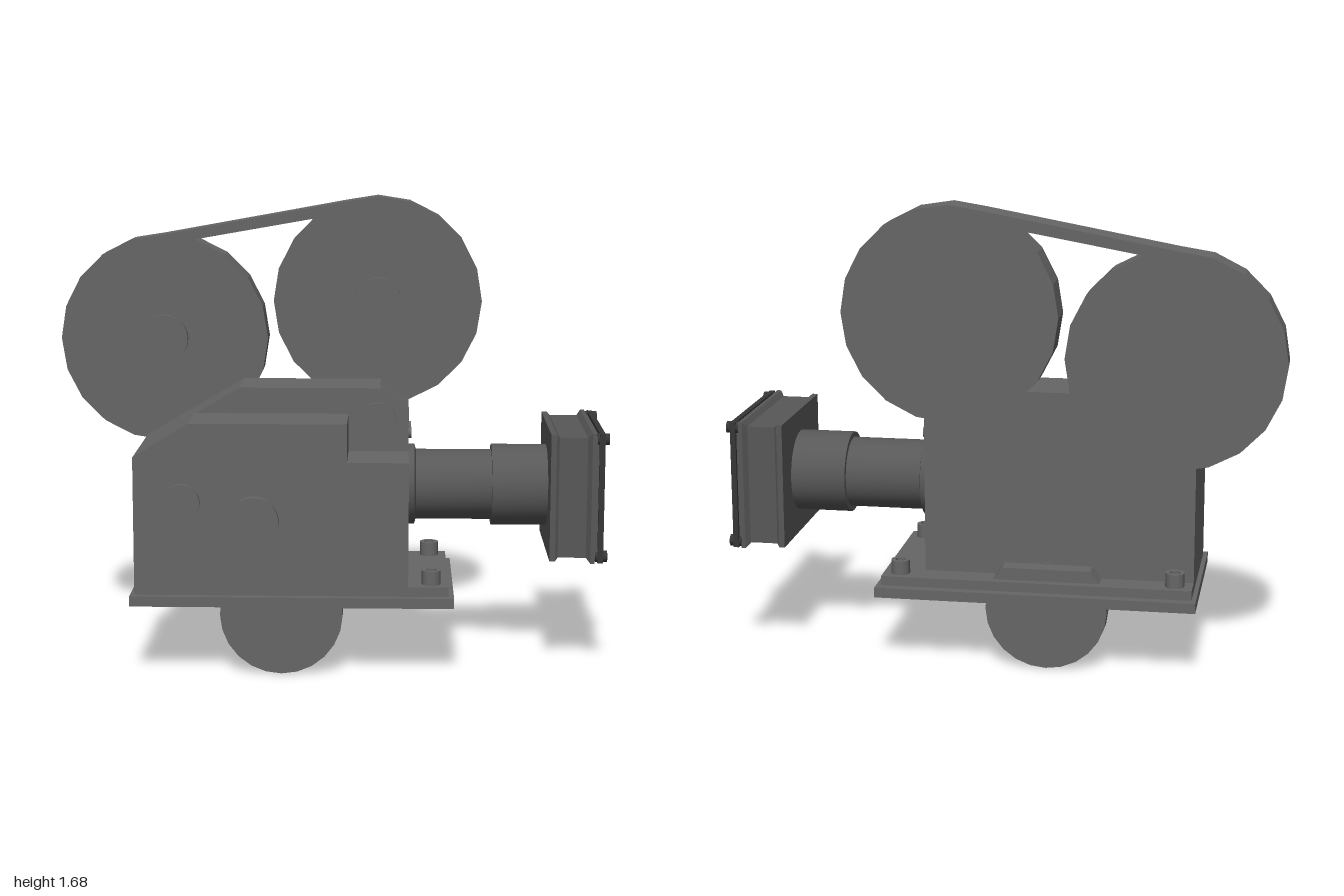
import * as THREE from 'three';
import { toCreasedNormals } from 'three/addons/utils/BufferGeometryUtils.js';

const bodyColor = 0x666666, lensColor = 0x585858, frameColor = 0x363636;
const flat = new THREE.MeshStandardMaterial({ color: bodyColor, flatShading: true });
const smooth = new THREE.MeshStandardMaterial({ color: bodyColor });
const open = new THREE.MeshStandardMaterial({ color: bodyColor, side: THREE.DoubleSide });
const lens = new THREE.MeshStandardMaterial({ color: lensColor, side: THREE.DoubleSide });
const frame = new THREE.MeshStandardMaterial({ color: frameColor, side: THREE.DoubleSide });

export function createModel() {
  const model = new THREE.Group();
  model.name = 'filmCamera';

  const add = (name, geometry, material = flat) => {
    const mesh = new THREE.Mesh(geometry, material);
    mesh.name = name;
    model.add(mesh);
  };
  // Box given by its limits
  const box = (name, x0, x1, y0, y1, z0, z1) =>
    add(name, new THREE.BoxGeometry(x1 - x0, y1 - y0, z1 - z0)
      .translate((x0 + x1) / 2, (y0 + y1) / 2, (z0 + z1) / 2));
  // Disc facing z
  const disc = (name, x, y, r, z0, z1, sides = 32) =>
    add(name, toCreasedNormals(new THREE.CylinderGeometry(r, r, z1 - z0, sides), 0.25)
      .rotateX(Math.PI / 2).translate(x, y, (z0 + z1) / 2), sides < 24 ? flat : smooth);
  // Outline in x, y extruded along z
  const slab = (name, points, z0, z1) => {
    const shape = new THREE.Shape(points.map(([x, y]) => new THREE.Vector2(x, y)));
    add(name, new THREE.ExtrudeGeometry(shape, { depth: z1 - z0, bevelEnabled: false })
      .translate(0, 0, z0));
  };
  // Turned profile of [radius, height]
  const lathe = (points, sides = 32) => toCreasedNormals(
    new THREE.LatheGeometry(points.map(([r, h]) => new THREE.Vector2(r, h)), sides), 0.6);

  // Body: tall rear housing and lower front half with a stepped corner
  slab('rearHousing', [[-0.684, 0.31], [0.293, 0.31], [0.293, 0.93], [0.19, 1.006],
    [-0.32, 1.006], [-0.684, 0.79]], -0.186, 0.055);
  slab('frontHousing', [[-0.684, 0.31], [0.293, 0.31], [0.293, 0.775], [0.075, 0.775],
    [0.075, 0.912], [-0.485, 0.912], [-0.684, 0.79]], 0.055, 0.288);
  disc('smallDial', -0.513, 0.63, 0.066, 0.28, 0.307);
  disc('largeDial', -0.255, 0.565, 0.088, 0.28, 0.318);
  disc('cornerDial', 0.18, 0.885, 0.07, 0.05, 0.077);
  for (const z of [0, -0.14]) {
    add('noseButton', new THREE.CylinderGeometry(0.02, 0.02, 0.02, 20)
      .rotateZ(Math.PI / 2).translate(0.293, 0.835, z), smooth);
  }

  // Base plates and socket bolts
  box('lowerPlate', -0.7, 0.456, 0.255, 0.292, -0.314, 0.314);
  box('upperPlate', -0.684, 0.437, 0.292, 0.327, -0.282, 0.288);
  for (const [x, z] of [[0.375, 0.233], [0.375, -0.23], [-0.62, -0.23]]) {
    add('bolt', lathe([[0.034, 0.32], [0.034, 0.378], [0.019, 0.378], [0.019, 0.35], [0, 0.35]], 24)
      .translate(x, 0, z), open);
  }

  // Spool under the base, its flanges cut flat just above the plates
  const cut = 0.76, flange = [];
  for (let i = 0; i <= 18; i++) {
    const a = Math.PI - cut + (Math.PI + 2 * cut) * i / 18;
    flange.push([-0.16 + 0.22 * Math.cos(a), 0.22 + 0.22 * Math.sin(a)]);
  }
  for (const z of [0.203, -0.253]) slab('spoolFlange', flange, z, z + 0.065);
  disc('spoolDrum', -0.16, 0.218, 0.16, -0.19, 0.205);

  // Film magazines and the bridge between their tops
  for (const [x, y] of [[-0.615, 1.155], [0.177, 1.296]]) {
    disc('magazine', x, y, 0.385, -0.308, -0.186, 20);
    disc('magazineHub', x, y, 0.088, -0.19, -0.158);
  }
  slab('magazineBridge', [[-0.615, 1.54], [-0.5, 1.522], [0.04, 1.617], [0.12, 1.64],
    [0.058, 1.662]], -0.308, -0.186);

  // Lens barrel with a hollow front
  const lensY = 0.642, lensZ = -0.018;
  add('lensBarrel', lathe([[0.147, 0.28], [0.147, 0.315], [0.128, 0.32], [0.128, 0.595],
    [0.148, 0.595], [0.148, 0.86], [0.12, 0.86], [0.113, 0.82], [0.09, 0.775],
    [0.05, 0.75], [0, 0.74]], 40)
    .rotateZ(-Math.PI / 2).translate(0, lensY, lensZ), lens);

  // Matte box: rectangular rings of [x, half height, half depth] joined in order
  const corners = [[1, 1], [-1, 1], [-1, -1], [1, -1]];
  const loft = (name, rings, material) => {
    const positions = [];
    const at = (i, j) => {
      const [x, h, d] = rings[i], [sy, sz] = corners[j % 4];
      return [x, lensY + sy * h, lensZ + sz * d];
    };
    for (let i = 0; i < rings.length - 1; i++) {
      for (let j = 0; j < 4; j++) {
        const a = at(i, j), b = at(i, j + 1), c = at(i + 1, j + 1), d = at(i + 1, j);
        positions.push(...a, ...b, ...d, ...b, ...c, ...d);
      }
    }
    const geometry = new THREE.BufferGeometry();
    geometry.setAttribute('position', new THREE.Float32BufferAttribute(positions, 3));
    geometry.computeVertexNormals();
    add(name, geometry, material);
  };
  loft('matteBox', [[0.795, 0.102, 0.102], [0.795, 0.228, 0.258], [0.815, 0.228, 0.258],
    [0.825, 0.217, 0.247], [0.925, 0.217, 0.247], [0.94, 0.235, 0.266], [0.955, 0.235, 0.266],
    [0.955, 0.222, 0.253], [0.965, 0.222, 0.253]], lens);
  loft('matteBoxFrame', [[0.965, 0.222, 0.253], [0.965, 0.233, 0.265], [0.985, 0.233, 0.265],
    [0.985, 0.195, 0.211], [0.96, 0.195, 0.211]], frame);
  loft('matteBoxFunnel', [[0.96, 0.195, 0.211], [0.85, 0.155, 0.174]], lens);

  // Back wall of the funnel, cut around the lens
  const wall = new THREE.Shape([[-0.174, -0.155], [0.174, -0.155], [0.174, 0.155], [-0.174, 0.155]]
    .map(([x, y]) => new THREE.Vector2(x, y)));
  wall.holes.push(new THREE.Path().absarc(0, 0, 0.146, 0, Math.PI * 2, true));
  add('matteBoxBackWall', new THREE.ShapeGeometry(wall, 20).rotateY(Math.PI / 2)
    .translate(0.85, lensY, lensZ), frame);

  // Corner knobs on the matte box front
  for (const [sy, sz] of corners) {
    add('cornerKnob', new THREE.CylinderGeometry(0.021, 0.021, 0.042, 16).rotateZ(Math.PI / 2)
      .translate(0.979, lensY + sy * 0.212, lensZ + sz * 0.243), frame);
  }

  return model;
}
